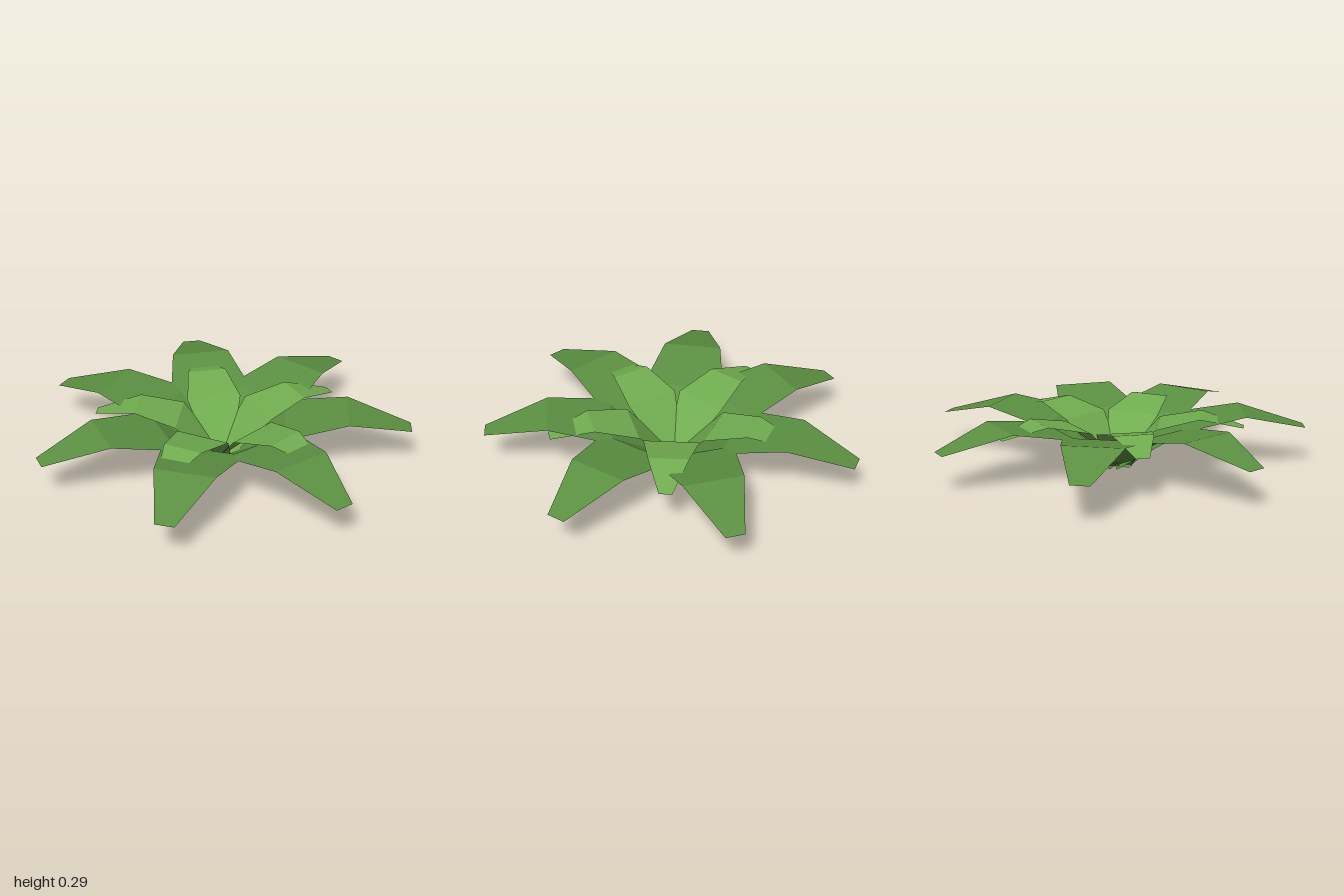
import * as THREE from 'three';

// One arching leaf along +x, from cross-sections [distance, height, half width]
function leafGeometry(sections) {
  const pos = [];
  for (let i = 0; i < sections.length - 1; i++) {
    const [r0, y0, w0] = sections[i];
    const [r1, y1, w1] = sections[i + 1];
    pos.push(r0, y0, -w0, r0, y0, w0, r1, y1, w1);
    pos.push(r0, y0, -w0, r1, y1, w1, r1, y1, -w1);
  }
  const geo = new THREE.BufferGeometry();
  geo.setAttribute('position', new THREE.Float32BufferAttribute(pos, 3));
  geo.computeVertexNormals();
  return geo;
}

// Ring of equal leaves around the centre
function leafRing(name, count, startDegrees, sections, material) {
  const ring = new THREE.Group();
  ring.name = name + 's';
  const geo = leafGeometry(sections);
  for (let i = 0; i < count; i++) {
    const leaf = new THREE.Mesh(geo, material);
    leaf.name = name;
    leaf.rotation.y = -THREE.MathUtils.degToRad(startDegrees + (i * 360) / count);
    ring.add(leaf);
  }
  return ring;
}

export function createModel() {
  const model = new THREE.Group();
  model.name = 'leafyPlant';

  const leafGreen = new THREE.MeshStandardMaterial({ color: 0x5c9142, flatShading: true, side: THREE.DoubleSide });
  leafGreen.name = 'leaf green';
  const youngGreen = new THREE.MeshStandardMaterial({ color: 0x71ad50, flatShading: true, side: THREE.DoubleSide });
  youngGreen.name = 'young leaf green';

  // Seven large outer leaves
  const outer = leafRing('outerLeaf', 7, 0, [
    [0, 0, 0.085], [0.337, 0.235, 0.22], [0.673, 0.295, 0.16], [1.01, 0.205, 0.05],
  ], leafGreen);

  // Five smaller, steeper inner leaves
  const inner = leafRing('innerLeaf', 5, 41, [
    [0, 0.005, 0.057], [0.225, 0.24, 0.147], [0.452, 0.292, 0.106], [0.677, 0.235, 0.034],
  ], youngGreen);

  outer.position.x = inner.position.x = -0.04;
  model.add(outer, inner);
  return model;
}
